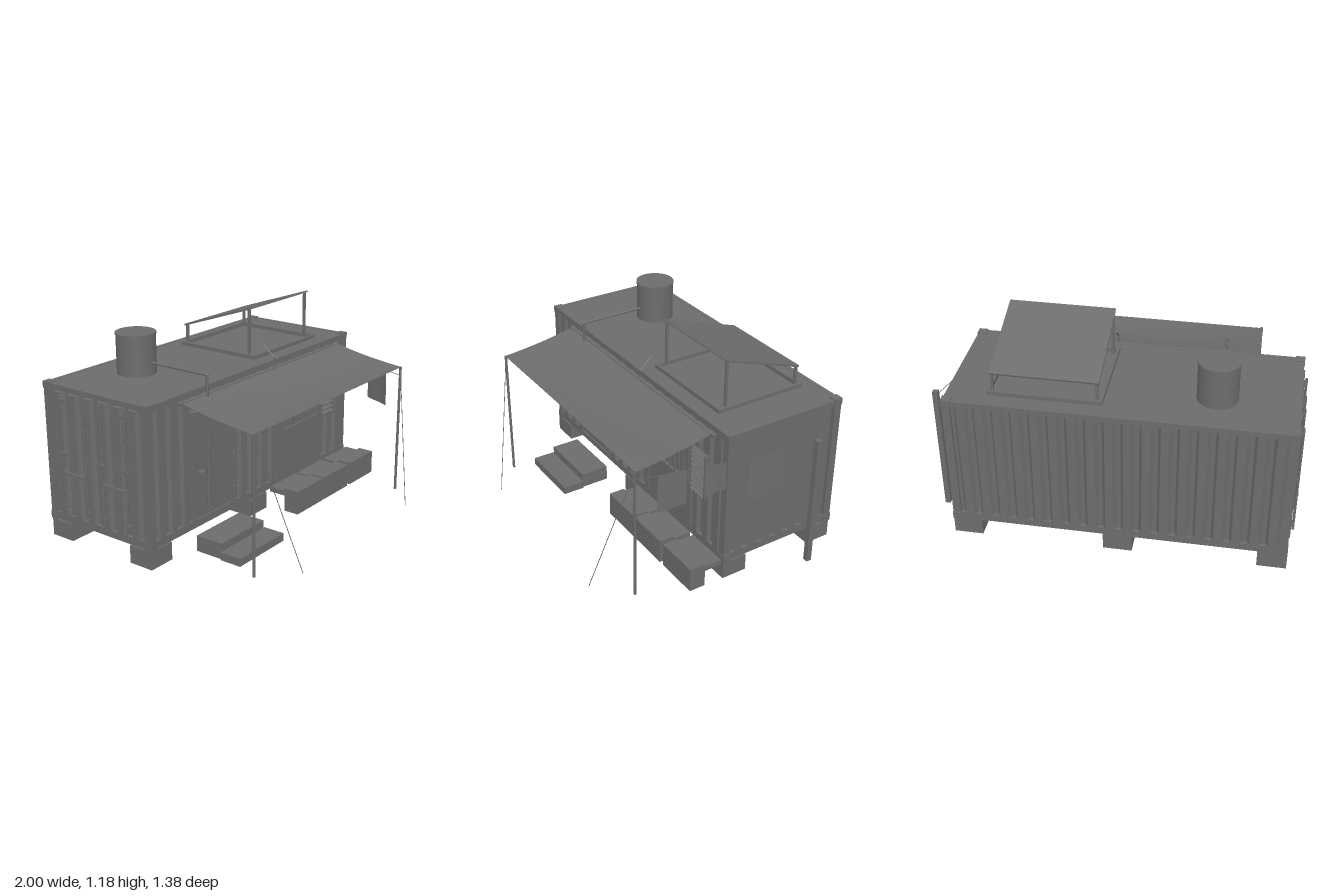
import * as THREE from 'three';

const grey = new THREE.MeshStandardMaterial({ color: 0x6e6c6b, side: THREE.DoubleSide });

export function createModel() {
  const model = new THREE.Group();

  const add = (name, geometry) => {
    const mesh = new THREE.Mesh(geometry, grey);
    mesh.name = name;
    model.add(mesh);
    return mesh;
  };
  // Box given by its low and high limits on each axis
  const box = (name, x0, x1, y0, y1, z0, z1) =>
    add(name, new THREE.BoxGeometry(x1 - x0, y1 - y0, z1 - z0)
      .translate((x0 + x1) / 2, (y0 + y1) / 2, (z0 + z1) / 2));
  // Round bar between two points
  const rod = (name, a, b, r, sides = 8) => {
    const p = new THREE.Vector3(...a), q = new THREE.Vector3(...b);
    const d = q.clone().sub(p);
    const mesh = add(name, new THREE.CylinderGeometry(r, r, d.length(), sides));
    mesh.position.copy(p).add(q).multiplyScalar(0.5);
    mesh.quaternion.setFromUnitVectors(new THREE.Vector3(0, 1, 0), d.normalize());
    return mesh;
  };
  // Corrugated sheet facing +z, outer ridges at z = 0
  const corrugated = (name, length, y0, y1, ribs, depth) => {
    const shape = new THREE.Shape();
    const pitch = length / ribs, start = -length / 2;
    shape.moveTo(start, 0.012 + depth);
    for (let i = 0; i < ribs; i++) {
      [[0, depth], [0.2, depth], [0.35, 0], [0.8, 0], [0.95, depth]]
        .forEach(([t, d]) => shape.lineTo(start + (i + t) * pitch, d));
    }
    shape.lineTo(-start, depth);
    shape.lineTo(-start, 0.012 + depth);
    const geo = new THREE.ExtrudeGeometry(shape, { depth: y1 - y0, bevelEnabled: false });
    return add(name, geo.rotateX(-Math.PI / 2).translate(0, y0, 0));
  };

  // Container shell
  const X0 = -0.975, X1 = 0.865, Z0 = -0.69, Z1 = 0.05, CX = (X0 + X1) / 2, CZ = (Z0 + Z1) / 2;
  box('floor', X0 + 0.01, X1 - 0.01, 0.105, 0.13, Z0 + 0.01, Z1 - 0.01);
  box('roof', X0 + 0.01, X1 - 0.01, 0.865, 0.883, Z0 + 0.01, Z1 - 0.01);
  for (const x of [X0, X1 - 0.05]) {
    for (const z of [Z0, Z1 - 0.05]) {
      box('cornerPost', x + 0.003, x + 0.047, 0.13, 0.86, z + 0.003, z + 0.047);
      box('cornerCasting', x, x + 0.05, 0.1, 0.145, z, z + 0.05);
      box('cornerCasting', x, x + 0.05, 0.85, 0.89, z, z + 0.05);
    }
  }
  for (const [y0, y1] of [[0.105, 0.148], [0.855, 0.885]]) {
    for (const z of [Z0 + 0.004, Z1 - 0.029]) box('longRail', X0 + 0.05, X1 - 0.05, y0, y1, z, z + 0.025);
    for (const x of [X0 + 0.004, X1 - 0.029]) box('endRail', x, x + 0.025, y0, y1, Z0 + 0.05, Z1 - 0.05);
  }
  corrugated('frontWall', 1.75, 0.14, 0.86, 18, 0.018).position.set(CX, 0, Z1 - 0.003);
  const back = corrugated('backWall', 1.75, 0.14, 0.86, 18, 0.018);
  back.position.set(CX, 0, Z0 + 0.003);
  back.rotation.y = Math.PI;
  const rightEnd = corrugated('endWall', 0.64, 0.14, 0.86, 7, 0.018);
  rightEnd.position.set(X1 - 0.003, 0, CZ);
  rightEnd.rotation.y = Math.PI / 2;

  // Cargo doors with locking bars
  for (const s of [-1, 1]) {
    const leaf = corrugated('cargoDoor', 0.312, 0.15, 0.85, 3, 0.022);
    leaf.position.set(X0 - 0.005, 0, CZ + s * 0.16);
    leaf.rotation.y = -Math.PI / 2;
    for (const o of [0.06, 0.23]) {
      const z = CZ + s * o;
      rod('lockingBar', [-0.991, 0.17, z], [-0.991, 0.84, z], 0.007);
      for (const y of [0.2, 0.5, 0.8]) box('barBracket', -0.998, -0.975, y, y + 0.02, z - 0.015, z + 0.015);
    }
    box('barHandle', -1, -0.99, 0.4, 0.415, CZ + s * 0.145 - 0.085, CZ + s * 0.145 + 0.085);
  }

  // Foundation blocks
  for (const x of [-0.975, -0.135, 0.705])
    for (const z of [-0.68, -0.1]) box('foundationBlock', x, x + 0.16, 0, 0.1, z, z + 0.15);

  // Door steps and crates along the wall
  box('lowerStep', -0.67, -0.28, 0, 0.045, 0.26, 0.39);
  box('upperStep', -0.66, -0.29, 0, 0.09, 0.09, 0.26);
  for (const x of [0.04, 0.315, 0.605]) {
    box('planter', x, x + 0.26, 0.005, 0.145, 0.168, 0.262);
    box('planterShelf', x, x + 0.26, 0.1, 0.13, 0.065, 0.168);
  }

  // Entrance door
  box('doorPanel', -0.63, -0.315, 0.155, 0.76, 0.03, 0.058);
  for (const x of [-0.637, -0.318]) box('doorJamb', x, x + 0.014, 0.15, 0.77, 0.03, 0.066);
  for (const y of [0.15, 0.756]) box('doorRail', -0.637, -0.304, y, y + 0.014, 0.03, 0.066);
  for (const y of [0.235, 0.435, 0.69]) {
    rod('doorHinge', [-0.313, y - 0.025, 0.072], [-0.313, y + 0.025, 0.072], 0.009);
    for (let x = -0.56; x < -0.34; x += 0.07)
      add('doorRivet', new THREE.SphereGeometry(0.005, 6, 4)).position.set(x, y - 0.03, 0.058);
  }
  box('doorHandle', -0.605, -0.565, 0.423, 0.432, 0.058, 0.085);
  const lamp = add('doorLamp', new THREE.SphereGeometry(0.015, 12, 8));
  lamp.position.set(-0.48, 0.772, 0.09);
  rod('lampArm', [-0.48, 0.785, 0.05], [-0.48, 0.785, 0.09], 0.006);

  // Barred window with hood and louvred shutter
  box('windowSurround', 0.14, 0.55, 0.15, 0.7, 0.03, 0.052);
  for (const x of [0.15, 0.53]) box('windowFrameSide', x, x + 0.016, 0.43, 0.69, 0.05, 0.068);
  for (const y of [0.43, 0.674]) box('windowFrameRail', 0.15, 0.546, y, y + 0.016, 0.05, 0.068);
  for (let i = 0; i < 8; i++) {
    const x = 0.19 + i * 0.044;
    rod('windowBar', [x, 0.44, 0.064], [x, 0.68, 0.064], 0.005);
  }
  box('windowHood', 0.12, 0.57, 0.708, 0.722, 0.04, 0.08);
  for (const x of [0.56, 0.69]) box('shutterStile', x, x + 0.012, 0.42, 0.69, 0.045, 0.07);
  for (let i = 0; i < 9; i++) {
    const slat = add('shutterSlat', new THREE.BoxGeometry(0.12, 0.007, 0.032));
    slat.position.set(0.631, 0.435 + i * 0.03, 0.06);
    slat.rotation.x = 0.6;
  }

  // Sagging awning, poles and guy lines
  box('awningLedger', -0.74, 0.755, 0.832, 0.848, 0.045, 0.068);
  const cloth = new THREE.PlaneGeometry(1.46, 1, 20, 10);
  const pos = cloth.attributes.position;
  for (let i = 0; i < pos.count; i++) {
    const u = pos.getX(i) / 1.46 + 0.5, v = 0.5 - pos.getY(i);
    const sag = Math.sin(Math.PI * v) * (0.008 + 0.025 * Math.sin(Math.PI * u));
    pos.setXYZ(i, pos.getX(i) + 0.005, 0.845 - 0.07 * v - sag, 0.062 + 0.453 * v);
  }
  cloth.computeVertexNormals();
  add('awning', cloth);
  for (const [x, foot] of [[-0.715, -0.53], [0.725, 0.54]]) {
    rod('awningPole', [x, 0, 0.515], [x, 0.778, 0.515], 0.008);
    rod('guyLine', [x, 0.77, 0.515], [foot, 0, 0.69], 0.002, 5);
  }

  // Water tank and downpipe
  add('waterTank', new THREE.CylinderGeometry(0.109, 0.109, 0.222, 32)).position.set(-0.54, 0.994, -0.415);
  add('tankLid', new THREE.CylinderGeometry(0.112, 0.112, 0.012, 32)).position.set(-0.54, 1.106, -0.415);
  rod('tankPipe', [-0.54, 0.955, -0.32], [-0.54, 0.955, 0.08], 0.008);
  rod('downPipe', [-0.54, 0.955, 0.08], [-0.54, 0.225, 0.08], 0.008);
  add('pipeElbow', new THREE.SphereGeometry(0.01, 10, 8)).position.set(-0.54, 0.955, 0.08);

  // Solar panel on a roof frame
  for (const z of [-0.59, -0.062]) box('panelBaseRail', 0.035, 0.645, 0.883, 0.905, z, z + 0.016);
  for (const x of [0.035, 0.629]) box('panelBaseRail', x, x + 0.016, 0.883, 0.905, -0.59, -0.046);
  for (const x of [0.058, 0.61]) {
    box('frontPanelLeg', x, x + 0.014, 0.9, 1.16, -0.112, -0.098);
    box('rearPanelLeg', x, x + 0.014, 0.9, 1.005, -0.572, -0.558);
  }
  const panel = add('solarPanel', new THREE.BoxGeometry(0.58, 0.011, 0.512));
  panel.position.set(0.34, 1.088, -0.333);
  panel.rotation.x = -Math.atan2(0.165, 0.485);

  // Meter box and its cable pipe
  box('meterBox', 0.02, 0.11, 0.515, 0.605, 0.045, 0.08);
  rod('cablePipe', [0.065, 0.6, 0.07], [0.065, 0.91, 0.07], 0.004);
  rod('cablePipeTop', [0.065, 0.91, 0.07], [0.065, 0.98, -0.012], 0.004);

  // Washing line with hanging cloths
  box('washingPost', 0.966, 0.996, 0, 0.77, -0.455, -0.425);
  const lineX = z => 0.73 + (0.515 - z) * 0.263;
  const lineY = z => 0.725 + (0.515 - z) * 0.017;
  rod('washingLine', [lineX(0.515), lineY(0.515), 0.515], [lineX(-0.44), lineY(-0.44), -0.44], 0.002, 5);
  for (const [za, zb, ya, yb] of [[0.4, 0.25, 0.505, 0.525], [0.155, 0.04, 0.555, 0.57], [-0.08, -0.26, 0.478, 0.5]]) {
    const sheet = new THREE.PlaneGeometry(1, 1, 8, 4), p = sheet.attributes.position;
    for (let i = 0; i < p.count; i++) {
      const u = p.getX(i) + 0.5, v = 0.5 - p.getY(i), z = za + (zb - za) * u;
      const drop = lineY(z) - (ya + (yb - ya) * u);
      p.setXYZ(i, lineX(z) + 0.005 * v * Math.sin(u * 6), lineY(z) - drop * v, z + 0.005 * v);
    }
    sheet.computeVertexNormals();
    add('hangingCloth', sheet);
  }

  return model;
}
